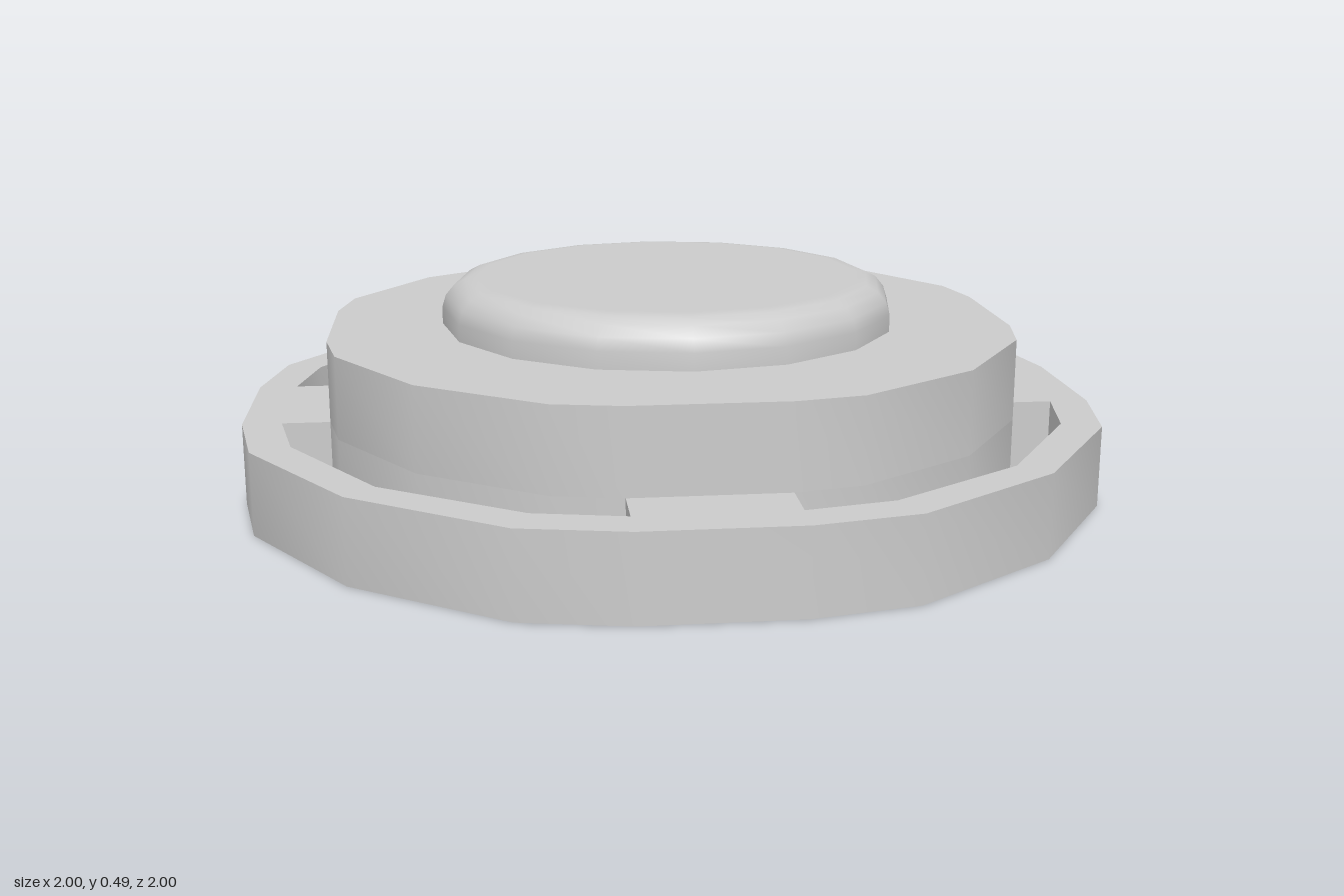
import * as THREE from 'three';
import { toCreasedNormals } from 'three/addons/utils/BufferGeometryUtils.js';

// One quadrant of each outline (+x side to +y side)
const RIM = [[1, 0.17], [0.955, 0.4], [0.73, 0.73], [0.4, 0.955], [0.17, 1]];
const SLOT_OUTER = [[0.91, 0.17], [0.87, 0.365], [0.67, 0.67], [0.365, 0.87], [0.17, 0.91]];
const DISC = [[0.8, 0.17], [0.77, 0.32], [0.59, 0.59], [0.32, 0.77], [0.17, 0.8]];
const PLATE_TOP = 0.19, BODY_TOP = 0.38, CROWN_TOP = 0.49;

const quarter = (points, i) => {
  const center = new THREE.Vector2();
  return points.map(([x, y]) => new THREE.Vector2(x, y).rotateAround(center, i * Math.PI / 2));
};
const outline = (points) => [0, 1, 2, 3].flatMap((i) => quarter(points, i));

// Extrudes a plan shape upward from y0 to y1, keeping the rims sharp
function slab(shape, y0, y1) {
  const geometry = new THREE.ExtrudeGeometry(shape, { depth: y1 - y0, bevelEnabled: false });
  geometry.rotateX(-Math.PI / 2).translate(0, y0, 0);
  return toCreasedNormals(geometry, 0.6);
}

export function createModel() {
  const group = new THREE.Group();
  const material = new THREE.MeshStandardMaterial({ color: 0xcccccc });
  const add = (name, geometry) => {
    const mesh = new THREE.Mesh(geometry, material);
    mesh.name = name;
    group.add(mesh);
  };

  // Base plate: outer ring joined to the disc by four bridges between curved slots
  const plate = new THREE.Shape(outline(RIM));
  const slot = [...SLOT_OUTER, ...[...DISC].reverse()];
  for (let i = 0; i < 4; i++) plate.holes.push(new THREE.Path(quarter(slot, i)));
  add('slottedBasePlate', slab(plate, 0, PLATE_TOP));

  // Raised body
  add('raisedBody', slab(new THREE.Shape(outline(DISC)), PLATE_TOP, BODY_TOP));

  // Rounded crown
  const profile = [
    [0.54, BODY_TOP - 0.01], [0.54, 0.42], [0.531, 0.449], [0.511, 0.473],
    [0.485, 0.486], [0.455, CROWN_TOP], [0, CROWN_TOP],
  ].map(([r, y]) => new THREE.Vector2(r, y));
  add('roundedCrown', new THREE.LatheGeometry(profile, 16));

  return group;
}
